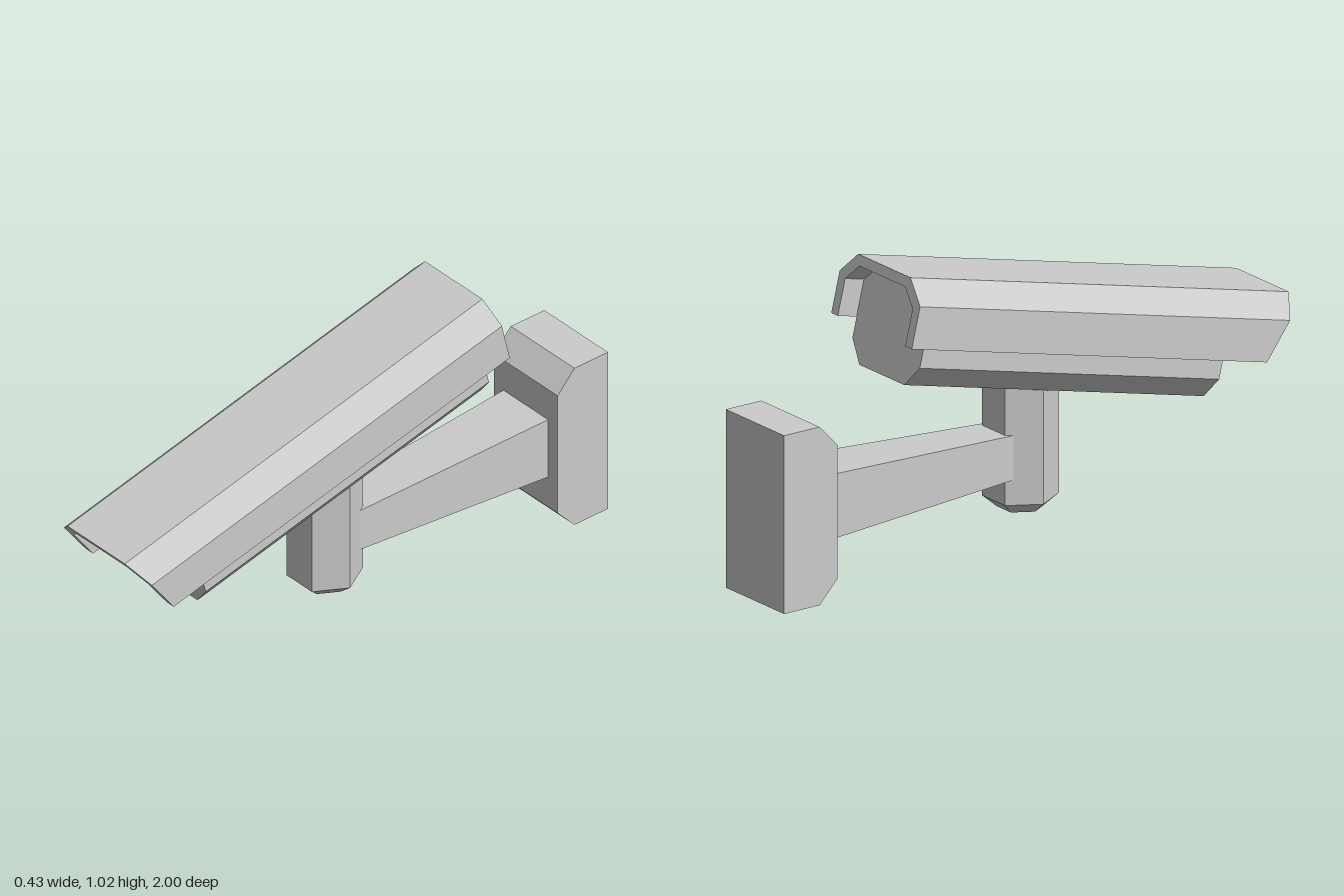
import * as THREE from 'three';

const material = new THREE.MeshStandardMaterial({ color: 0xcccccc, flatShading: true });

function addMesh(parent, name, geometry) {
  const mesh = new THREE.Mesh(geometry, material);
  mesh.name = name;
  parent.add(mesh);
  return mesh;
}

// Straight extrusion of an outline along +z
function extrude(points, depth) {
  const shape = new THREE.Shape(points.map(([x, y]) => new THREE.Vector2(x, y)));
  return new THREE.ExtrudeGeometry(shape, { depth, bevelEnabled: false });
}

// Completes a right-hand outline with its mirror image
const mirrored = (half) => [...half, ...half.map(([x, y]) => [-x, y]).reverse()];

// Six-sided cylinder with corners on the x axis
const hexagon = (top, bottom, height) =>
  new THREE.CylinderGeometry(top, bottom, height, 6).rotateY(Math.PI / 6);

export function createModel() {
  const model = new THREE.Group();
  model.name = 'securityCamera';

  // Wall plate: chamfered side profile extruded across x
  const plate = extrude(
    [[-1, 0], [-0.86, 0], [-0.79, 0.075], [-0.79, 0.525], [-0.86, 0.6], [-1, 0.6]], 0.312);
  plate.translate(0, 0, -0.156).rotateY(-Math.PI / 2);
  addMesh(model, 'wallPlate', plate);

  // Arm: box tapering from the plate to the post
  const arm = new THREE.BoxGeometry(0.22, 0.22, 0.76);
  const p = arm.attributes.position;
  for (let i = 0; i < p.count; i++) {
    if (p.getZ(i) > 0) p.setXY(i, p.getX(i) * 0.68, p.getY(i) * 0.68);
  }
  arm.translate(0, 0.3, -0.415);
  addMesh(model, 'arm', arm);

  // Post with a tapered foot
  addMesh(model, 'post', hexagon(0.123, 0.123, 0.44)).position.set(0, 0.36, 0.047);
  addMesh(model, 'postFoot', hexagon(0.123, 0.077, 0.038)).position.set(0, 0.121, 0.047);

  // Tilted camera head, its origin at the rear top of the hood
  const head = new THREE.Group();
  head.name = 'cameraHead';
  head.position.set(0, 1.02, -0.49);
  head.rotation.x = 0.2371;
  model.add(head);

  // Hood: open channel whose front edge slants back towards the bottom
  const hood = extrude([
    ...mirrored([[0.14, 0], [0.215, -0.075], [0.215, -0.215], [0.18, -0.215],
      [0.18, -0.092], [0.122, -0.035]]),
  ], 1.533);
  const h = hood.attributes.position;
  for (let i = 0; i < h.count; i++) {
    if (h.getZ(i) > 1) h.setZ(i, 1.533 + 0.43 * h.getY(i));
  }
  hood.computeVertexNormals();
  addMesh(head, 'hood', hood);

  // Octagonal body
  const body = extrude(
    mirrored([[0.122, -0.036], [0.18, -0.093], [0.18, -0.285], [0.12, -0.357]]), 1.214);
  addMesh(head, 'body', body).position.z = 0.076;

  // Lens ring with a shallow pointed front
  const ring = hexagon(0.12, 0.12, 0.05).rotateX(Math.PI / 2);
  addMesh(head, 'lensRing', ring).position.set(0, -0.197, 1.298);
  const lens = new THREE.ConeGeometry(0.12, 0.036, 6, 1, true)
    .rotateY(Math.PI / 6).rotateX(Math.PI / 2);
  addMesh(head, 'lens', lens).position.set(0, -0.197, 1.341);

  return model;
}
